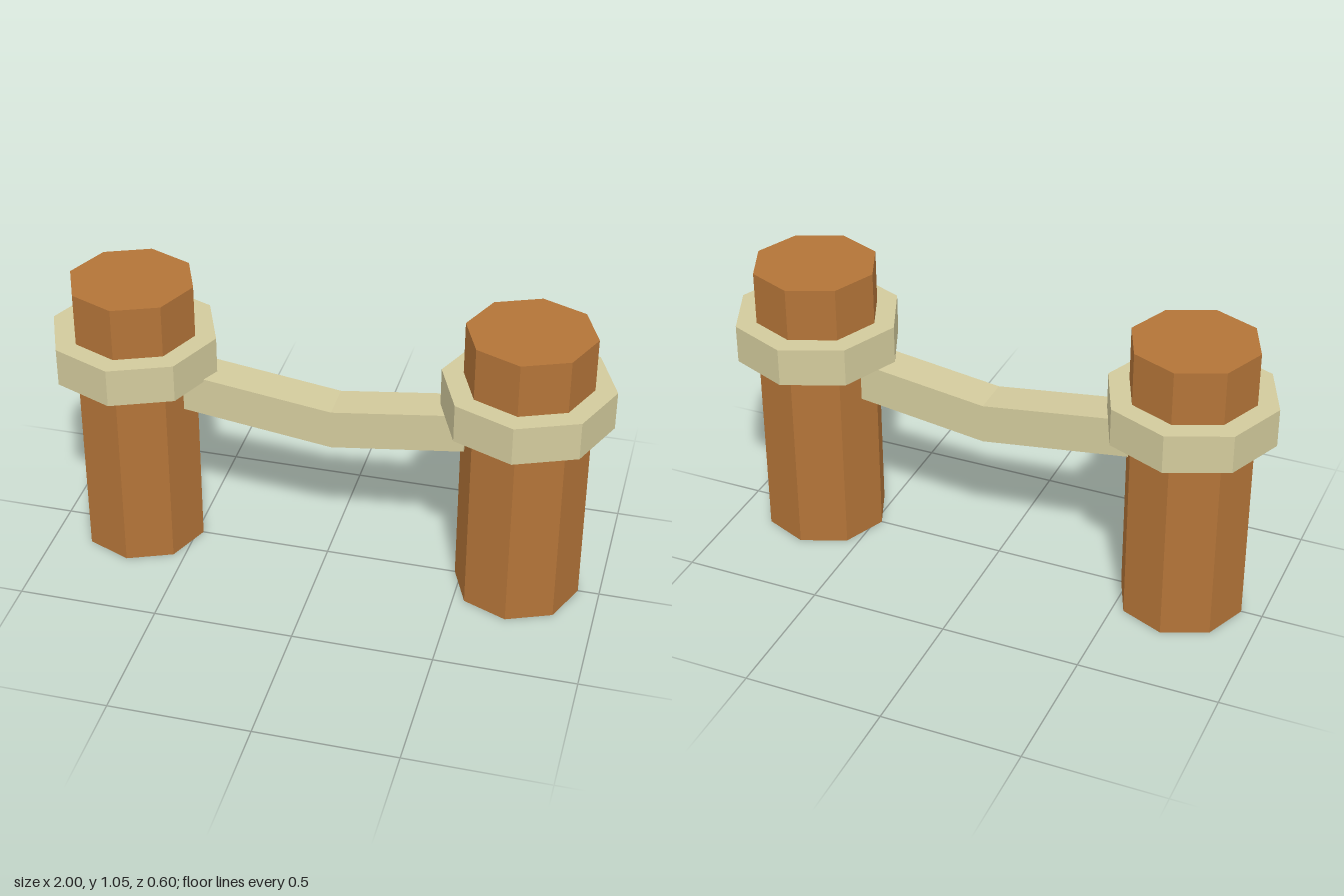
import * as THREE from 'three';

const POST_X = 0.7, POST_R = 0.224, POST_H = 1.047;
const COLLAR_R = 0.3, COLLAR_BOTTOM = 0.713, COLLAR_TOP = 0.853;

// Eight-sided solid of revolution with hard facets
function octagonLathe(profile) {
  const points = profile.map(([r, y]) => new THREE.Vector2(r, y));
  const geometry = new THREE.LatheGeometry(points, 8).toNonIndexed();
  geometry.computeVertexNormals();
  return geometry;
}

export function createModel() {
  const model = new THREE.Group();
  model.name = 'ropeFence';

  const wood = new THREE.MeshStandardMaterial({ color: 0xb37438, flatShading: true, side: THREE.DoubleSide });
  wood.name = 'wood';
  const rope = new THREE.MeshStandardMaterial({ color: 0xd2ca9c, flatShading: true });
  rope.name = 'rope';

  // Post is hollow, open underneath and capped on top
  const postGeometry = octagonLathe([[POST_R, 0], [POST_R, POST_H], [0, POST_H]]);
  // Collar is a ring wrapped around the post
  const collarGeometry = octagonLathe([
    [POST_R, COLLAR_BOTTOM], [COLLAR_R, COLLAR_BOTTOM],
    [COLLAR_R, COLLAR_TOP], [POST_R, COLLAR_TOP],
  ]);

  for (const [side, sign] of [['left', 1], ['right', -1]]) {
    const post = new THREE.Mesh(postGeometry, wood);
    post.name = side + 'Post';
    post.position.x = sign * POST_X;
    const collar = new THREE.Mesh(collarGeometry, rope);
    collar.name = side + 'RopeCollar';
    collar.position.x = sign * POST_X;
    model.add(post, collar);
  }

  // Sagging rope between the posts
  const sag = new THREE.Shape([
    [-0.508, 0.588], [0.03, 0.515], [0.5, 0.577],
    [0.5, 0.722], [0.03, 0.66], [-0.508, 0.733],
  ].map(([x, y]) => new THREE.Vector2(x, y)));
  const sagGeometry = new THREE.ExtrudeGeometry(sag, { depth: 0.144, bevelEnabled: false });
  sagGeometry.translate(0, 0, -0.074);
  const hangingRope = new THREE.Mesh(sagGeometry, rope);
  hangingRope.name = 'hangingRope';
  model.add(hangingRope);

  return model;
}
